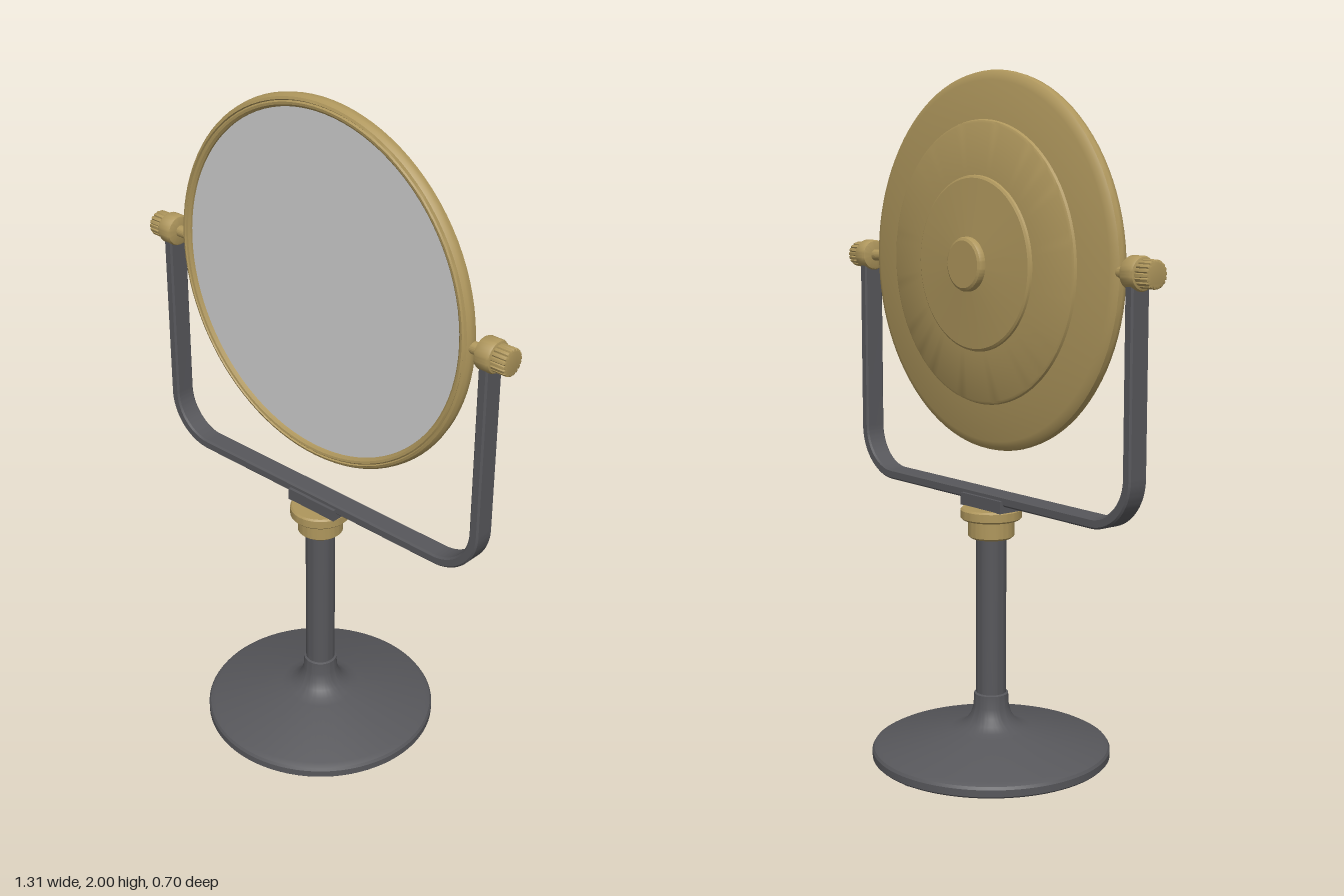
import * as THREE from 'three';
import { toCreasedNormals } from 'three/addons/utils/BufferGeometryUtils.js';

const iron = new THREE.MeshStandardMaterial({ color: 0x57575b });
const brass = new THREE.MeshStandardMaterial({ color: 0xae965c });
const glass = new THREE.MeshStandardMaterial({ color: 0xcccccc });

const PIVOT_Y = 1.467;

function part(name, geometry, material, parent) {
  const mesh = new THREE.Mesh(toCreasedNormals(geometry, 0.5), material);
  mesh.name = name;
  parent.add(mesh);
  return mesh;
}

// Turned part: [radius, height] pairs, listed from the bottom centre outwards and up
function turned(points, segments = 64) {
  return new THREE.LatheGeometry(points.map(([r, h]) => new THREE.Vector2(r, h)), segments);
}

// Flat U-shaped bar with rounded lower corners, extruded in depth
function yokeGeometry() {
  const bevel = 0.005, depth = 0.054;
  const outX = 0.601 - bevel, inX = 0.571 + bevel;
  const low = 0.784 + bevel, high = 0.814 - bevel;
  const cx = 0.45, cy = low + outX - cx, r = outX - cx, ri = inX - cx;
  const s = new THREE.Shape();
  s.moveTo(-outX, PIVOT_Y);
  s.lineTo(-outX, cy);
  s.absarc(-cx, cy, r, Math.PI, Math.PI * 1.5, false);
  s.lineTo(cx, low);
  s.absarc(cx, cy, r, Math.PI * 1.5, Math.PI * 2, false);
  s.lineTo(outX, PIVOT_Y);
  s.lineTo(inX, PIVOT_Y);
  s.lineTo(inX, high + ri);
  s.absarc(cx, high + ri, ri, 0, -Math.PI / 2, true);
  s.lineTo(-cx, high);
  s.absarc(-cx, high + ri, ri, -Math.PI / 2, -Math.PI, true);
  s.lineTo(-inX, PIVOT_Y);
  s.closePath();
  return new THREE.ExtrudeGeometry(s, {
    depth, curveSegments: 16, bevelEnabled: true,
    bevelSize: bevel, bevelThickness: bevel, bevelSegments: 1,
  }).translate(0, 0, -depth / 2);
}

// Ribbed thumb knob along +x
function knobGeometry() {
  const s = new THREE.Shape(), ribs = 18;
  for (let i = 0; i < ribs * 4; i++) {
    const a = (i / (ribs * 4)) * Math.PI * 2;
    const r = i % 4 < 2 ? 0.034 : 0.0295;
    s.lineTo(r * Math.cos(a), r * Math.sin(a));
    if (i === 0) s.curves.length = 0, s.moveTo(r, 0);
  }
  s.closePath();
  return new THREE.ExtrudeGeometry(s, {
    depth: 0.038, bevelEnabled: true, bevelSize: 0.004, bevelThickness: 0.005, bevelSegments: 2,
  }).rotateY(Math.PI / 2).translate(0.613, 0, 0);
}

// Pin, rounded collar and knob on the +x side
function createPivot(name) {
  const g = new THREE.Group();
  g.name = name;
  part('pivotPin', new THREE.CylinderGeometry(0.017, 0.017, 0.09, 24)
    .rotateZ(-Math.PI / 2).translate(0.555, 0, 0), brass, g);
  part('pivotCollar', turned([
    [0, 0.562], [0.038, 0.562], [0.043, 0.564], [0.046, 0.57],
    [0.046, 0.604], [0.043, 0.61], [0.038, 0.612], [0, 0.612],
  ], 40).rotateZ(-Math.PI / 2), brass, g);
  part('thumbKnob', knobGeometry(), brass, g);
  return g;
}

export function createModel() {
  const model = new THREE.Group();
  model.name = 'tableMirror';

  // Base, post and feet
  part('base', turned([
    [0, 0.02], [0.345, 0.02], [0.35, 0.025], [0.35, 0.045], [0.345, 0.053], [0.33, 0.061],
    [0.12, 0.104], [0.095, 0.112], [0.074, 0.126], [0.06, 0.146], [0.052, 0.172],
    [0.05, 0.21], [0.044, 0.213], [0, 0.213],
  ], 80), iron, model);
  part('post', new THREE.CylinderGeometry(0.044, 0.044, 0.52, 40).translate(0, 0.45, 0), iron, model);
  for (let i = 0; i < 3; i++) {
    const a = (i * 2 * Math.PI) / 3;
    const foot = part('foot', new THREE.CylinderGeometry(0.035, 0.035, 0.024, 24), iron, model);
    foot.position.set(0.28 * Math.sin(a), 0.012, -0.28 * Math.cos(a));
  }

  // Brass swivel and the saddle under the yoke
  part('swivelCollar', turned([
    [0, 0.677], [0.06, 0.677], [0.067, 0.683], [0.067, 0.732], [0.084, 0.732], [0.089, 0.737],
    [0.089, 0.76], [0.084, 0.765], [0, 0.765],
  ]), brass, model);
  part('saddle', new THREE.BoxGeometry(0.18, 0.036, 0.084).translate(0, 0.782, 0), iron, model);

  // Yoke with a pivot on each side
  part('yoke', yokeGeometry(), iron, model);
  const left = createPivot('leftPivot');
  const right = createPivot('rightPivot');
  right.rotation.y = Math.PI;
  for (const p of [left, right]) {
    p.position.y = PIVOT_Y;
    model.add(p);
  }

  // Mirror head: stepped back shell that wraps round into the front rim
  const head = new THREE.Group();
  head.name = 'mirrorHead';
  head.position.y = PIVOT_Y;
  part('backShellAndRim', turned([
    [0, -0.104], [0.066, -0.104], [0.073, -0.1], [0.076, -0.094], [0.076, -0.083],
    [0.238, -0.069], [0.244, -0.065], [0.246, -0.059],
    [0.388, -0.047], [0.395, -0.043], [0.398, -0.036],
    [0.505, -0.022], [0.521, -0.017], [0.53, -0.009], [0.533, 0.002], [0.531, 0.013],
    [0.525, 0.021], [0.518, 0.024], [0.515, 0.02], [0.511, 0.024], [0.504, 0.023],
    [0.498, 0.018], [0.496, 0.01],
  ], 96).rotateX(Math.PI / 2), brass, head);
  part('mirrorGlass', new THREE.CircleGeometry(0.498, 96).translate(0, 0, 0.013), glass, head);
  model.add(head);

  return model;
}
